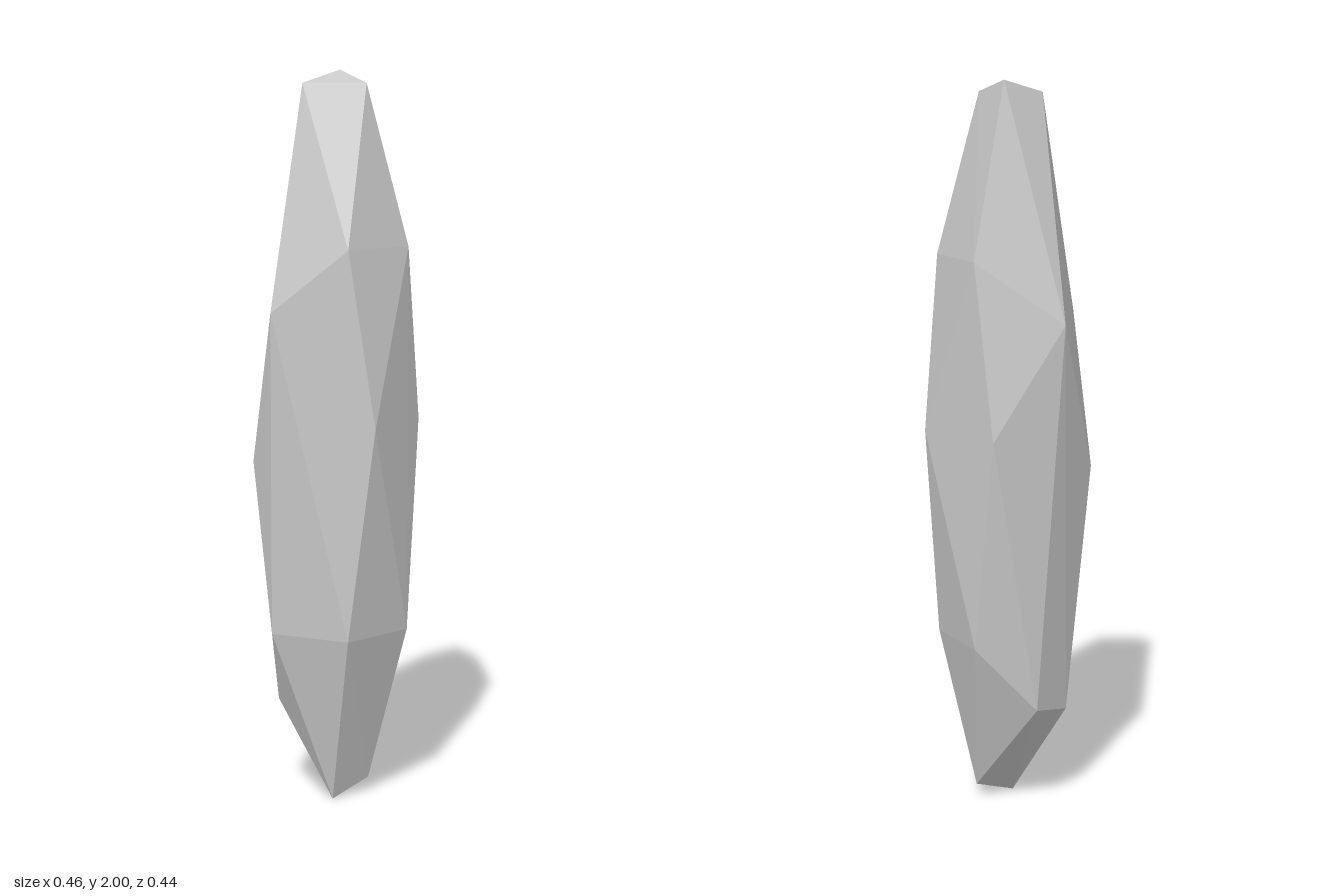
import * as THREE from 'three';
import { ConvexGeometry } from 'three/addons/geometries/ConvexGeometry.js';

export function createModel() {
  const group = new THREE.Group();
  group.name = 'crystalShard';
  const stone = new THREE.MeshStandardMaterial({ color: 0xc8c8c8 });
  stone.name = 'paleGreyStone';

  // Corners of the faceted shard, ring by ring from the tip down
  const tip = [[0.02, 2, -0.06], [-0.092, 1.965, 0], [0.073, 1.965, 0.053]];
  const shoulder = [[0.187, 1.53, 0.06], [0.113, 1.53, -0.16], [0, 1.53, 0.195],
    [-0.196, 1.36, 0.113], [-0.129, 1.36, -0.176]];
  const waist = [[0.229, 1.055, 0], [0.07, 1.055, 0.217], [0.07, 1.055, -0.218], [-0.229, 0.945, 0]];
  const foot = [[0.187, 0.475, 0.06], [0.113, 0.475, -0.16], [0, 0.475, 0.195], [-0.188, 0.475, 0.06],
    [-0.155, 0.265, -0.045], [-0.058, 0.295, -0.155]];
  const base = [[0.09, 0.04, 0], [-0.02, 0, 0.06]];

  // Convex shell with flat facets
  const corners = [...tip, ...shoulder, ...waist, ...foot, ...base].map((p) => new THREE.Vector3(...p));
  const shard = new THREE.Mesh(new ConvexGeometry(corners), stone);
  shard.name = 'shard';
  group.add(shard);
  return group;
}
